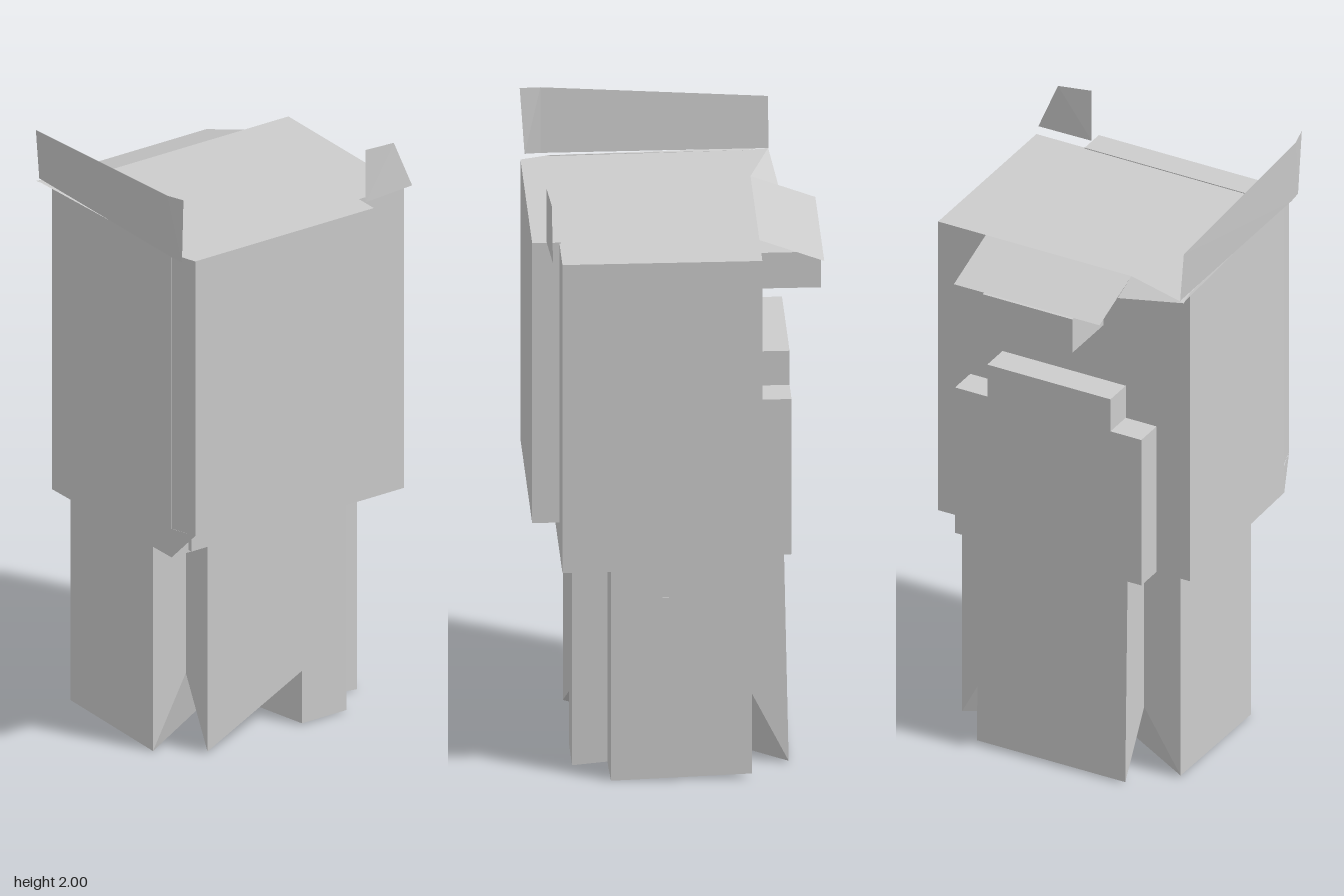
import * as THREE from 'three';

const grey = new THREE.MeshStandardMaterial({ color: 0xcccccc, side: THREE.DoubleSide });
grey.name = 'plainGrey';

function meshFrom(name, triangles) {
  const g = new THREE.BufferGeometry();
  g.setAttribute('position', new THREE.Float32BufferAttribute(triangles.flat(), 3));
  g.computeVertexNormals();
  const m = new THREE.Mesh(g, grey);
  m.name = name;
  return m;
}

// Joins two matching rings of points and closes both ends with fans
function solid(name, bottom, top, cb, ct) {
  const t = [], n = bottom.length;
  for (let i = 0; i < n; i++) {
    const j = (i + 1) % n;
    t.push(bottom[i], bottom[j], top[j], bottom[i], top[j], top[i]);
    t.push(cb, bottom[j], bottom[i], ct, top[i], top[j]);
  }
  return meshFrom(name, t);
}

// Flat or gently bent sheet from a convex outline
function sheet(name, p) {
  const t = [];
  for (let i = 1; i < p.length - 1; i++) t.push(p[0], p[i], p[i + 1]);
  return meshFrom(name, t);
}

function box(name, x0, x1, y0, y1, z0, z1) {
  const m = new THREE.Mesh(new THREE.BoxGeometry(x1 - x0, y1 - y0, z1 - z0), grey);
  m.position.set((x0 + x1) / 2, (y0 + y1) / 2, (z0 + z1) / 2);
  m.name = name;
  return m;
}

export function createModel() {
  const model = new THREE.Group();
  model.name = 'blockTower';

  // Base: cross-shaped column with ragged bottom; each entry is x, z, bottom height
  const cross = [
    [-0.27, 0.33, 0.01], [0.089, 0.33, 0.19], [0.09, 0.33, 0.01], [0.26, 0.33, 0.01],
    [0.26, 0.22, 0.02], [0.38, 0.215, 0.005], [0.38, -0.225, 0.02], [0.26, -0.225, 0.25],
    [0.26, -0.345, 0.01], [-0.27, -0.345, 0.01], [-0.27, -0.225, 0.22], [-0.4, -0.225, 0.01],
    [-0.4, 0.22, 0.005], [-0.275, 0.22, 0.24],
  ];
  model.add(solid('baseColumn',
    cross.map(([x, z, y]) => [x, y, z]),
    cross.map(([x, z]) => [x, 0.74, z < -0.3 ? -0.33 : z]),
    [0, 0.02, 0], [0, 0.74, 0]));
  model.add(box('sideSlitTrim', 0.378, 0.384, 0.2, 0.62, 0.035, 0.055));
  model.add(sheet('sideSlitTip', [[0.384, 0.2, 0.055], [0.384, 0.2, 0.035], [0.384, 0.05, 0.065]]));

  // Upper body
  const body = [[-0.435, 0.37], [0.45, 0.37], [0.45, -0.253], [-0.45, -0.253]];
  model.add(solid('upperBody', body.map(([x, z]) => [x, 0.737, z]),
    body.map(([x, z]) => [x, 1.775, z]), [0, 0.737, 0], [0, 1.775, 0]));

  // Front panel with its slanted left edge and lower corner
  const panel = [[-0.435, 0.365], [-0.405, 0.455], [0.275, 0.455], [0.275, 0.365]];
  model.add(solid('frontPanel', panel.map(([x, z]) => [x, 0.835, z]),
    panel.map(([x, z]) => [x, 1.778, z]), [0, 0.835, 0.41], [0, 1.778, 0.41]));
  model.add(sheet('panelCorner', [[-0.435, 0.737, 0.37], [-0.405, 0.835, 0.455], [-0.435, 0.835, 0.37]]));
  model.add(box('panelTab', -0.37, -0.29, 0.745, 0.835, 0.365, 0.385));

  // Stepped back plate
  const outline = new THREE.Shape([
    [-0.33, 0.737], [0.335, 0.737], [0.335, 1.26], [0.22, 1.26],
    [0.22, 1.375], [-0.22, 1.375], [-0.22, 1.26], [-0.33, 1.26],
  ].map(([x, y]) => new THREE.Vector2(x, y)));
  const plate = new THREE.Mesh(
    new THREE.ExtrudeGeometry(outline, { depth: 0.1, bevelEnabled: false }), grey);
  plate.position.z = -0.35;
  plate.name = 'backPlate';
  model.add(plate);

  // Canopy, its block and the roof flap beside it
  model.add(box('canopyBlock', -0.14, 0.18, 1.57, 1.69, -0.45, -0.25));
  model.add(sheet('canopySlope', [[0.28, 1.775, -0.253], [0.28, 1.7, -0.455],
    [-0.24, 1.7, -0.455], [-0.24, 1.775, -0.253]]));
  model.add(sheet('roofFlap', [[-0.24, 1.775, -0.253], [-0.24, 1.74, -0.34],
    [-0.465, 1.775, -0.32], [-0.45, 1.775, -0.253]]));
  model.add(sheet('roofEdge', [[-0.435, 1.778, 0.37], [-0.435, 1.775, 0.36],
    [-0.45, 1.775, -0.253], [-0.465, 1.778, -0.32]]));

  // Upright roof fins
  model.add(sheet('sideFin', [[-0.45, 1.78, 0.39], [-0.452, 1.78, -0.32],
    [-0.465, 1.95, -0.32], [-0.465, 1.995, 0.39]]));
  model.add(sheet('sideFinReturn', [[-0.445, 1.78, 0.44], [-0.45, 1.78, 0.39],
    [-0.465, 1.995, 0.39], [-0.45, 2, 0.455]]));
  model.add(sheet('frontFin', [[0.275, 1.78, 0.41], [0.46, 1.785, 0.4],
    [0.39, 1.95, 0.4], [0.275, 1.96, 0.41]]));

  return model;
}
